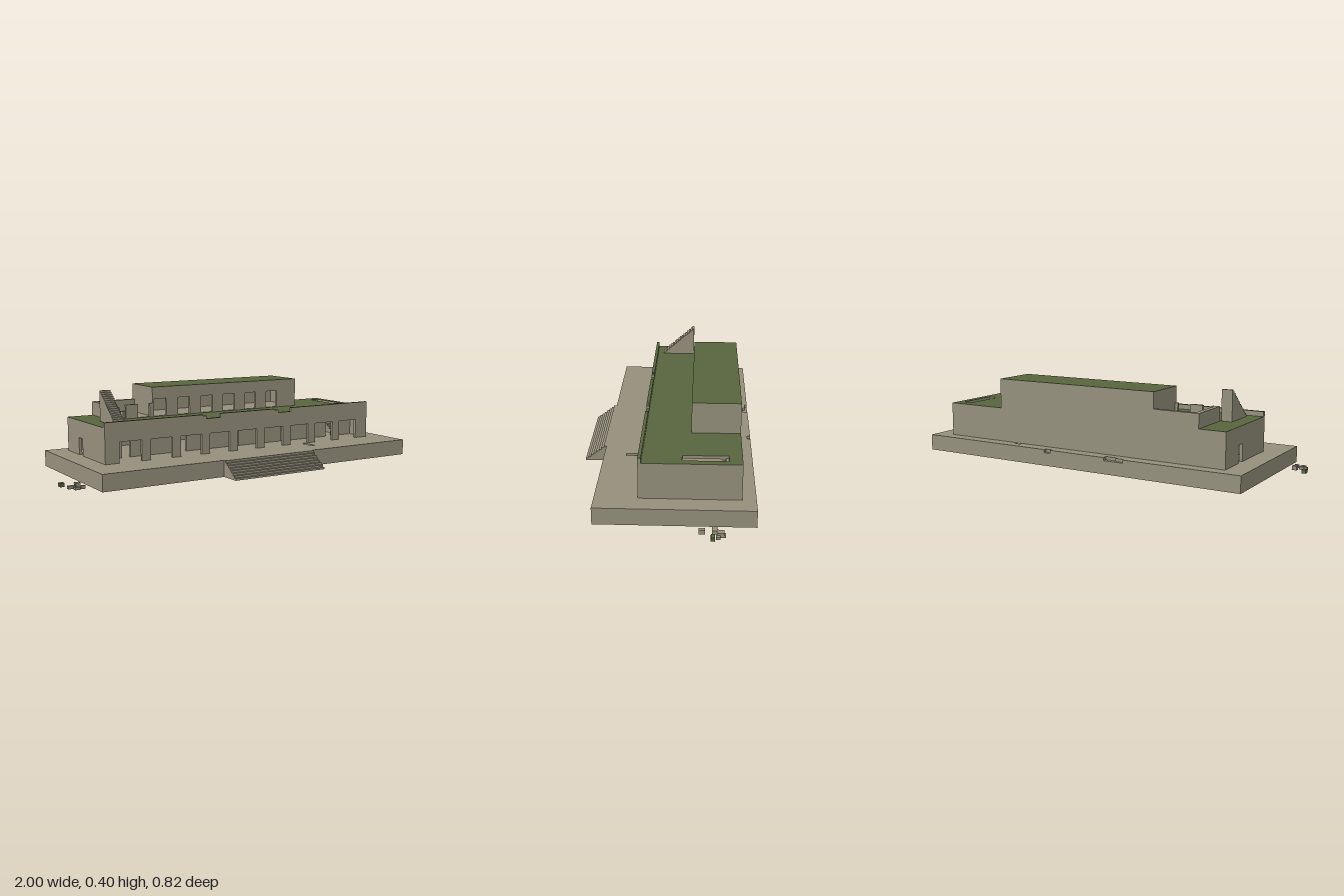
import * as THREE from 'three';

export function createModel() {
  const model = new THREE.Group();
  const stone = new THREE.MeshStandardMaterial({ color: 0x95907c });
  stone.name = 'weathered stone';
  const moss = new THREE.MeshStandardMaterial({ color: 0x58653e });
  moss.name = 'moss green';

  const add = (name, geometry, material) => {
    const mesh = new THREE.Mesh(geometry, material);
    mesh.name = name;
    model.add(mesh);
    return mesh;
  };

  // Box given by its limits; the top face may have its own material
  const box = (name, [x0, x1], [y0, y1], [z0, z1], material = stone, top = material) => {
    const g = new THREE.BoxGeometry(x1 - x0, y1 - y0, z1 - z0);
    g.translate((x0 + x1) / 2, (y0 + y1) / 2, (z0 + z1) / 2);
    return add(name, g, top === material ? material
      : [material, material, top, material, material, material]);
  };

  const polygon = (points) => points.map(([x, y]) => new THREE.Vector2(x, y));
  const rect = (x0, x1, z0, z1) => polygon([[x0, -z0], [x0, -z1], [x1, -z1], [x1, -z0]]);

  // Upright wall facing front, with openings that reach its foot
  const wall = (name, x0, x1, foot, head, topLine, openings, z0, z1) => {
    const pts = [[x0, foot]];
    openings.forEach(([a, b]) => pts.push([a, foot], [a, head], [b, head], [b, foot]));
    pts.push([x1, foot], ...topLine);
    const g = new THREE.ExtrudeGeometry(new THREE.Shape(polygon(pts)),
      { depth: z1 - z0, bevelEnabled: false });
    g.translate(0, 0, z0);
    return add(name, g, stone);
  };

  // Level slab from an outline in x and -z, with holes
  const slab = (name, outline, holes, y0, y1, material) => {
    const s = new THREE.Shape(outline);
    holes.forEach((h) => s.holes.push(new THREE.Path(h)));
    const g = new THREE.ExtrudeGeometry(s, { depth: y1 - y0, bevelEnabled: false });
    g.rotateX(-Math.PI / 2);
    g.translate(0, y0, 0);
    return add(name, g, material);
  };

  // Solid flight of steps rising towards the back
  const stairs = (name, x0, x1, y0, y1, zFront, zBack, count) => {
    const pts = [[-zFront, y0]];
    for (let i = 0; i < count; i++) {
      const z = zFront + (zBack - zFront) * i / count;
      const next = zFront + (zBack - zFront) * (i + 1) / count;
      const y = y0 + (y1 - y0) * (i + 1) / count;
      pts.push([-z, y], [-next, y]);
    }
    pts.push([-zBack, y0]);
    const g = new THREE.ExtrudeGeometry(new THREE.Shape(polygon(pts)),
      { depth: x1 - x0, bevelEnabled: false });
    g.rotateY(Math.PI / 2);
    g.translate(x0, 0, 0);
    return add(name, g, stone);
  };

  // Terrace: paving with chipped back edge and slots, over an open-bottomed base
  slab('terracePaving', polygon([
    [-0.88, -0.307], [0.88, -0.307], [0.88, 0.408],
    [0.15, 0.408], [0.15, 0.393], [0.115, 0.393], [0.115, 0.408],
    [-0.19, 0.408], [-0.19, 0.383], [-0.25, 0.383], [-0.25, 0.395], [-0.295, 0.395], [-0.295, 0.408],
    [-0.88, 0.408],
  ]), [rect(0.34, 0.362, 0.115, 0.2), rect(0.33, 0.362, -0.363, -0.347)], 0.065, 0.08, stone);
  box('terraceBed', [-0.88, 0.88], [0.06, 0.065], [-0.408, 0.307]);
  for (const s of [-1, 1]) {
    const a = 0.88 * s, b = 0.872 * s;
    box('terraceEndWall', [Math.min(a, b), Math.max(a, b)], [0, 0.06], [-0.4, 0.299]);
  }
  box('terraceFrontWall', [-0.88, 0.88], [0, 0.06], [0.299, 0.307]);
  box('terraceBackWall', [-0.88, 0.88], [0, 0.06], [-0.408, -0.4]);
  for (const x of [0.33, 0.19, -0.22, -0.33]) {
    box('foundationWall', [x - 0.01, x + 0.01], [0.005, 0.06], [-0.4, 0.299]);
  }
  stairs('frontSteps', -0.26, 0.26, 0, 0.08, 0.412, 0.307, 8);

  // Arcade front with broken parapet
  const arches = [];
  for (let i = -4; i <= 4; i++) arches.push([i * 0.1625 - 0.058, i * 0.1625 + 0.058]);
  wall('arcadeFront', -0.78, 0.785, 0.08, 0.18, [
    [0.785, 0.274], [0.27, 0.274], [0.27, 0.254], [0.19, 0.254], [0.19, 0.268], [0.165, 0.268],
    [0.165, 0.274], [-0.16, 0.274], [-0.16, 0.254], [-0.24, 0.254], [-0.24, 0.268],
    [-0.26, 0.268], [-0.26, 0.274], [-0.78, 0.274],
  ], arches, 0.097, 0.112);
  [[-0.78, -0.26, 0.274], [-0.26, -0.24, 0.268], [-0.24, -0.16, 0.254], [-0.16, 0.165, 0.274],
    [0.165, 0.19, 0.268], [0.19, 0.27, 0.254], [0.27, 0.785, 0.274]].forEach(([a, b, y]) =>
    box('parapetMoss', [a, b], [y, y + 0.001], [0.097, 0.112], moss));

  // Inner wall behind the arcade, with doorways
  const doors = [-0.617, -0.308, 0, 0.315, 0.62].map((x) => [x - 0.022, x + 0.022]);
  wall('innerWall', -0.765, 0.77, 0.08, 0.163, [[0.77, 0.235], [-0.765, 0.235]], doors, -0.025, -0.01);

  // Outer walls of the lower storey, with a doorway at one end
  box('lowerBackWall', [-0.78, 0.785], [0.08, 0.25], [-0.345, -0.33]);
  box('lowerLeftWall', [0.77, 0.785], [0.08, 0.25], [-0.33, 0.097]);
  box('lowerRightWall', [-0.78, -0.765], [0.08, 0.25], [-0.155, 0.097]);
  box('lowerRightWall', [-0.78, -0.765], [0.08, 0.25], [-0.33, -0.2]);
  box('sideDoorLintel', [-0.78, -0.765], [0.165, 0.25], [-0.2, -0.155]);

  // Mossy roof with stairwell
  slab('mainRoof', rect(-0.78, 0.785, -0.345, 0.097), [rect(0.7, 0.75, -0.285, -0.08)],
    0.235, 0.2505, [moss, stone]);
  stairs('stairwellSteps', 0.7, 0.75, 0.08, 0.24, -0.08, -0.285, 14);
  stairs('roofSteps', -0.706, -0.652, 0.25, 0.4, 0.065, -0.11, 17);

  // Upper storey: hollow room with a row of windows
  const windows = [];
  for (let i = 0; i < 6; i++) {
    const x = -0.377 + i * 0.1355;
    windows.push([x - 0.035, x + 0.035]);
  }
  wall('upperFrontWall', -0.42, 0.46, 0.25, 0.34, [[0.46, 0.39], [-0.42, 0.39]], windows, -0.13, -0.116);
  box('upperBackWall', [-0.42, 0.46], [0.25, 0.39], [-0.345, -0.33]);
  box('upperLeftWall', [0.445, 0.46], [0.25, 0.39], [-0.33, -0.13]);
  box('upperRightWall', [-0.42, -0.405], [0.25, 0.39], [-0.33, -0.13]);
  box('upperFloor', [-0.405, 0.445], [0.25, 0.253], [-0.33, -0.118]);
  box('upperRoof', [-0.42, 0.46], [0.39, 0.4], [-0.345, -0.116], stone, moss);

  // Roofless ruined room
  box('ruinFloor', [-0.645, -0.42], [0.25, 0.253], [-0.34, -0.118]);
  box('ruinBackWall', [-0.648, -0.42], [0.25, 0.32], [-0.345, -0.322]);
  box('ruinSideWall', [-0.648, -0.625], [0.25, 0.32], [-0.322, -0.116]);
  [[-0.625, -0.61], [-0.565, -0.5], [-0.435, -0.42]].forEach((x) =>
    box('ruinFrontPier', x, [0.25, 0.32], [-0.13, -0.116]));

  // Rubble blocks: x, z, width, depth, height, mossy
  const rubble = (name, y, blocks) => blocks.forEach(([x, z, w, d, h, green]) =>
    box(name, [x - w / 2, x + w / 2], [y, y + h], [z - d / 2, z + d / 2], green ? moss : stone));
  rubble('ruinRubble', 0.253, [
    [-0.59, -0.285, 0.028, 0.022, 0.03], [-0.61, -0.25, 0.026, 0.016, 0.02, 1],
    [-0.55, -0.235, 0.045, 0.02, 0.02, 1], [-0.54, -0.285, 0.026, 0.018, 0.035],
    [-0.51, -0.21, 0.03, 0.018, 0.02], [-0.55, -0.165, 0.03, 0.03, 0.03],
    [-0.53, -0.19, 0.02, 0.02, 0.02, 1],
  ]);
  rubble('groundRubble', 0, [
    [-0.99, 0.1, 0.02, 0.025, 0.018, 1], [-0.965, 0.163, 0.038, 0.018, 0.014],
    [-0.93, 0.14, 0.024, 0.022, 0.02], [-0.953, 0.195, 0.024, 0.02, 0.012],
    [-0.923, 0.19, 0.02, 0.014, 0.015],
    [0.923, -0.225, 0.038, 0.022, 0.016], [0.953, -0.25, 0.03, 0.03, 0.021],
    [0.985, -0.217, 0.03, 0.018, 0.018, 1], [0.937, -0.17, 0.018, 0.028, 0.021],
    [0.975, -0.24, 0.024, 0.018, 0.012], [0.957, -0.265, 0.022, 0.016, 0.01],
  ]);

  return model;
}
